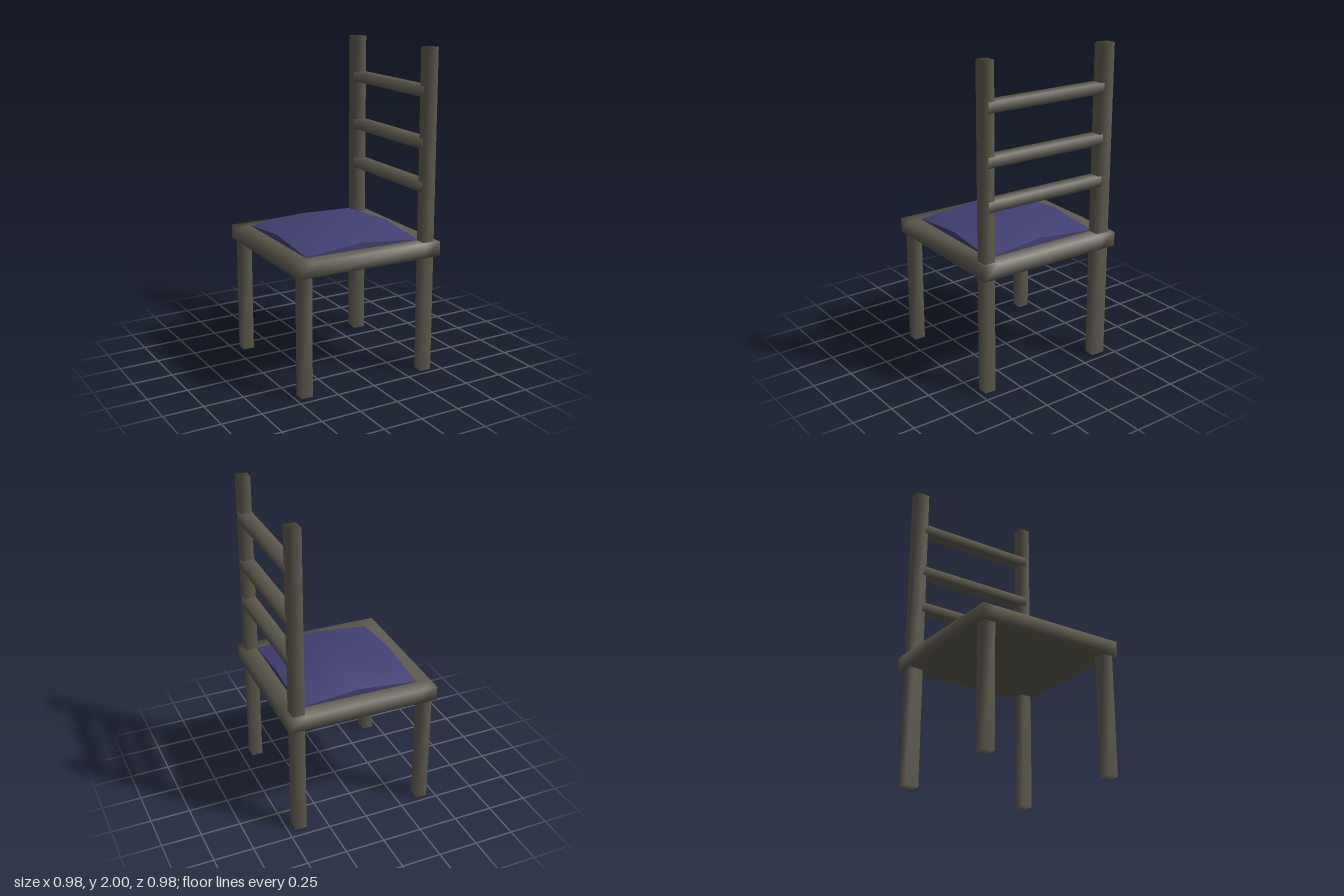
import * as THREE from 'three';
import { mergeVertices, toCreasedNormals } from 'three/addons/utils/BufferGeometryUtils.js';

const wood = new THREE.MeshStandardMaterial({ color: 0x5e5a4e });
const fabric = new THREE.MeshStandardMaterial({ color: 0x424072 });

// Share corner vertices so the shading runs smoothly round the edges
function soften(geometry) {
  geometry.deleteAttribute('normal');
  geometry.deleteAttribute('uv');
  const merged = mergeVertices(geometry, 1e-4);
  merged.computeVertexNormals();
  return merged;
}

function bar(name, [w, h, d], [x, y, z]) {
  const mesh = new THREE.Mesh(soften(new THREE.BoxGeometry(w, h, d)), wood);
  mesh.name = name;
  mesh.position.set(x, y, z);
  return mesh;
}

// Square seat board, with a grid line under the cushion edge
function seatGeometry(size, height, inner) {
  const geometry = new THREE.BoxGeometry(size, height, size, 3, 1, 3);
  const pos = geometry.attributes.position;
  const shift = (v) => (Math.abs(v) < size * 0.4 ? Math.sign(v) * inner : v);
  for (let i = 0; i < pos.count; i++) {
    pos.setX(i, shift(pos.getX(i)));
    pos.setZ(i, shift(pos.getZ(i)));
  }
  return soften(geometry);
}

// Domed cushion: one quarter, turned four times about the centre
function cushionGeometry(r, d) {
  const edge = 0.04, low = 0.004;
  const top = [0, 0.075, 0], dome = [d, 0.063, d], corner = [r, low, r];
  const midX = [r, edge, 0], midZ = [0, edge, r];
  const baseX = [r, 0, 0], baseZ = [0, 0, r], baseC = [r, 0, r];
  const faces = [
    [top, dome, midX], [top, midZ, dome],
    [midX, dome, corner], [midZ, corner, dome],
    [midX, corner, baseX], [corner, baseC, baseX],
    [midZ, baseZ, corner], [corner, baseZ, baseC],
  ];
  const points = [];
  for (let q = 0; q < 4; q++) {
    const c = Math.round(Math.cos(q * Math.PI / 2)), s = Math.round(Math.sin(q * Math.PI / 2));
    for (const [x, y, z] of faces.flat()) points.push(c * x + s * z, y, c * z - s * x);
  }
  const geometry = new THREE.BufferGeometry();
  geometry.setAttribute('position', new THREE.Float32BufferAttribute(points, 3));
  return toCreasedNormals(geometry, 0.6);
}

export function createModel() {
  const model = new THREE.Group();
  model.name = 'chair';
  const chair = new THREE.Group();
  chair.name = 'chairBody';
  chair.rotation.y = -0.022; // stands slightly turned
  model.add(chair);

  // Tall back posts, which also serve as the back legs
  chair.add(bar('backPost', [0.074, 2, 0.088], [0.408, 1, -0.409]));
  chair.add(bar('backPost', [0.074, 2, 0.07], [0.408, 1, 0.421]));

  // Short front legs
  for (const z of [-0.42, 0.422]) chair.add(bar('frontLeg', [0.072, 0.75, 0.072], [-0.42, 0.375, z]));

  // Ladder rails across the back
  for (const y of [1.17, 1.43, 1.74]) chair.add(bar('backRail', [0.08, 0.062, 0.81], [0.408, y, 0.02]));

  // Seat board
  const seat = new THREE.Mesh(seatGeometry(0.957, 0.09, 0.38), wood);
  seat.name = 'seat';
  seat.position.y = 0.787;
  chair.add(seat);

  // Cushion
  const cushion = new THREE.Mesh(cushionGeometry(0.38, 0.275), fabric);
  cushion.name = 'cushion';
  cushion.position.set(-0.004, 0.832, 0.003);
  chair.add(cushion);

  return model;
}
